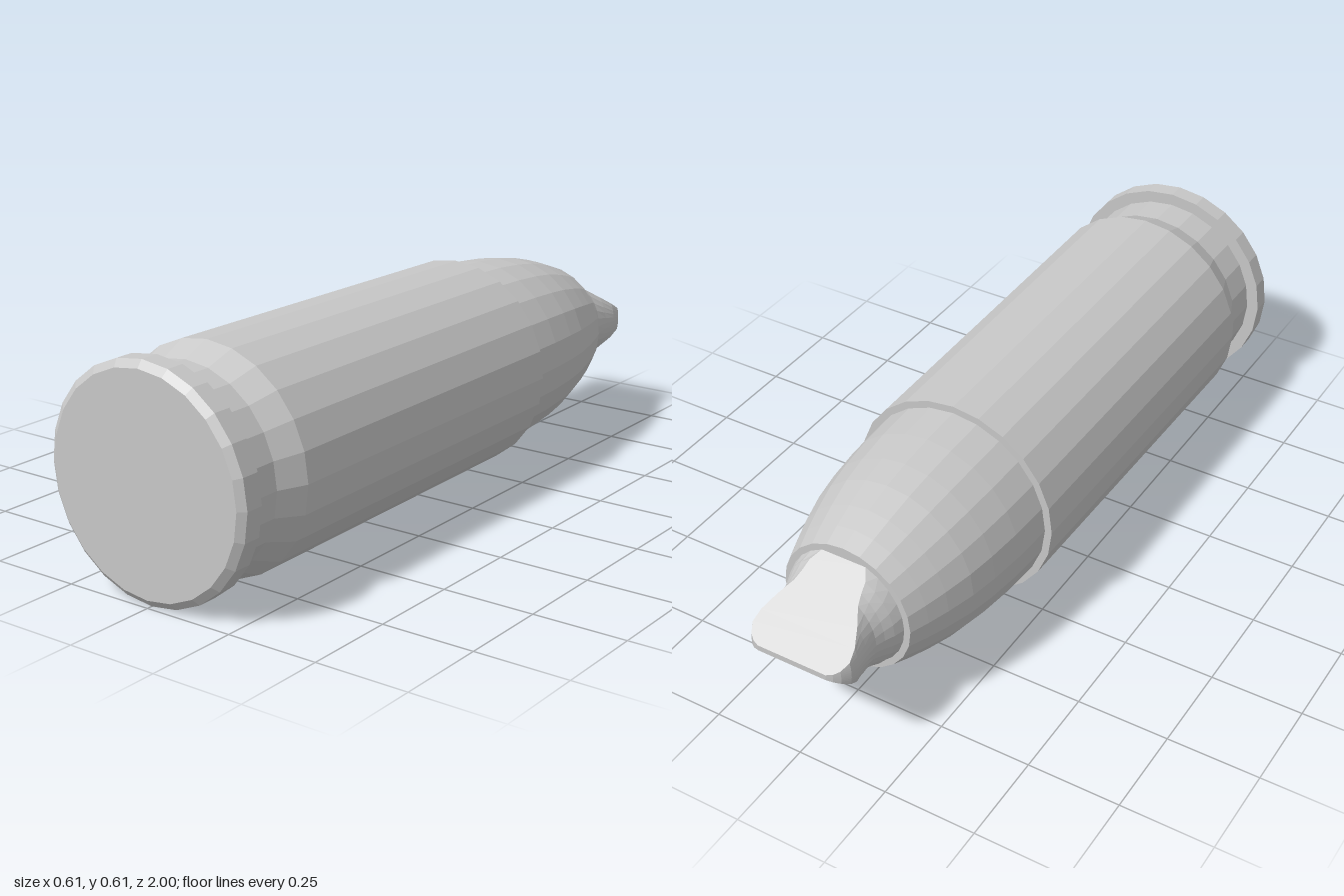
import * as THREE from 'three';

const AXIS_Y = 0.3025;
const SIDES = 24;

// Give every triangle its own flat normal
function faceted(geometry) {
  const flat = geometry.toNonIndexed();
  flat.computeVertexNormals();
  return flat;
}

// Turn a [z, radius] profile, listed from front to back, about the long axis
function turned(profile) {
  const points = profile.map(([z, r]) => new THREE.Vector2(r, -z));
  return faceted(new THREE.LatheGeometry(points, SIDES).rotateX(-Math.PI / 2));
}

// Flared round stem cut by two sloping planes into a chisel
function chisel(profile, slope) {
  const n = 10;
  const count = 2 * (n + 1);
  const positions = [];
  const index = [];
  for (const [z, r] of profile) {
    const a = Math.asin(Math.min(1, slope(z) / r));
    for (const middle of [0, Math.PI]) {
      for (let i = 0; i <= n; i++) {
        const t = middle - a + (2 * a * i) / n;
        positions.push(r * Math.cos(t), r * Math.sin(t), z);
      }
    }
  }
  for (let j = 0; j < profile.length - 1; j++) {
    for (let i = 0; i < count; i++) {
      const k = (i + 1) % count;
      const a = j * count + i, b = j * count + k;
      index.push(a, a + count, b, b, a + count, b + count);
    }
  }
  // narrow blunt end
  const last = (profile.length - 1) * count;
  for (let i = 1; i < count - 1; i++) index.push(last, last + i + 1, last + i);
  const geometry = new THREE.BufferGeometry();
  geometry.setAttribute('position', new THREE.Float32BufferAttribute(positions, 3));
  geometry.setIndex(index);
  return faceted(geometry);
}

export function createModel() {
  const group = new THREE.Group();
  const grey = new THREE.MeshStandardMaterial({ color: 0xc8c8c8 });
  grey.name = 'plain grey';

  const add = (name, geometry) => {
    const mesh = new THREE.Mesh(geometry, grey);
    mesh.name = name;
    mesh.position.y = AXIS_Y;
    group.add(mesh);
  };

  // Bevelled base rim
  add('baseRim', turned([[1, 0], [1, 0.283], [0.985, 0.3025], [0.935, 0.3025], [0.935, 0.26]]));

  // Groove, shoulder and slightly tapering case with its front lip
  add('case', turned([[0.935, 0.268], [0.84, 0.268], [0.765, 0.3], [-0.28, 0.291], [-0.28, 0.26]]));

  // Rounded nose ending in a flat ring
  add('nose', turned([
    [-0.28, 0.271], [-0.4, 0.266], [-0.5, 0.256], [-0.58, 0.243],
    [-0.66, 0.222], [-0.72, 0.203], [-0.772, 0.184], [-0.772, 0],
  ]));

  // Chisel tip
  add('chiselTip', chisel([
    [-0.77, 0.167], [-0.8, 0.158], [-0.825, 0.147], [-0.85, 0.139], [-0.89, 0.14],
    [-0.93, 0.145], [-0.96, 0.144], [-0.982, 0.13], [-0.994, 0.115], [-1, 0.098],
  ], (z) => 0.008 + (0.147 * (z + 1)) / 0.23));

  return group;
}
